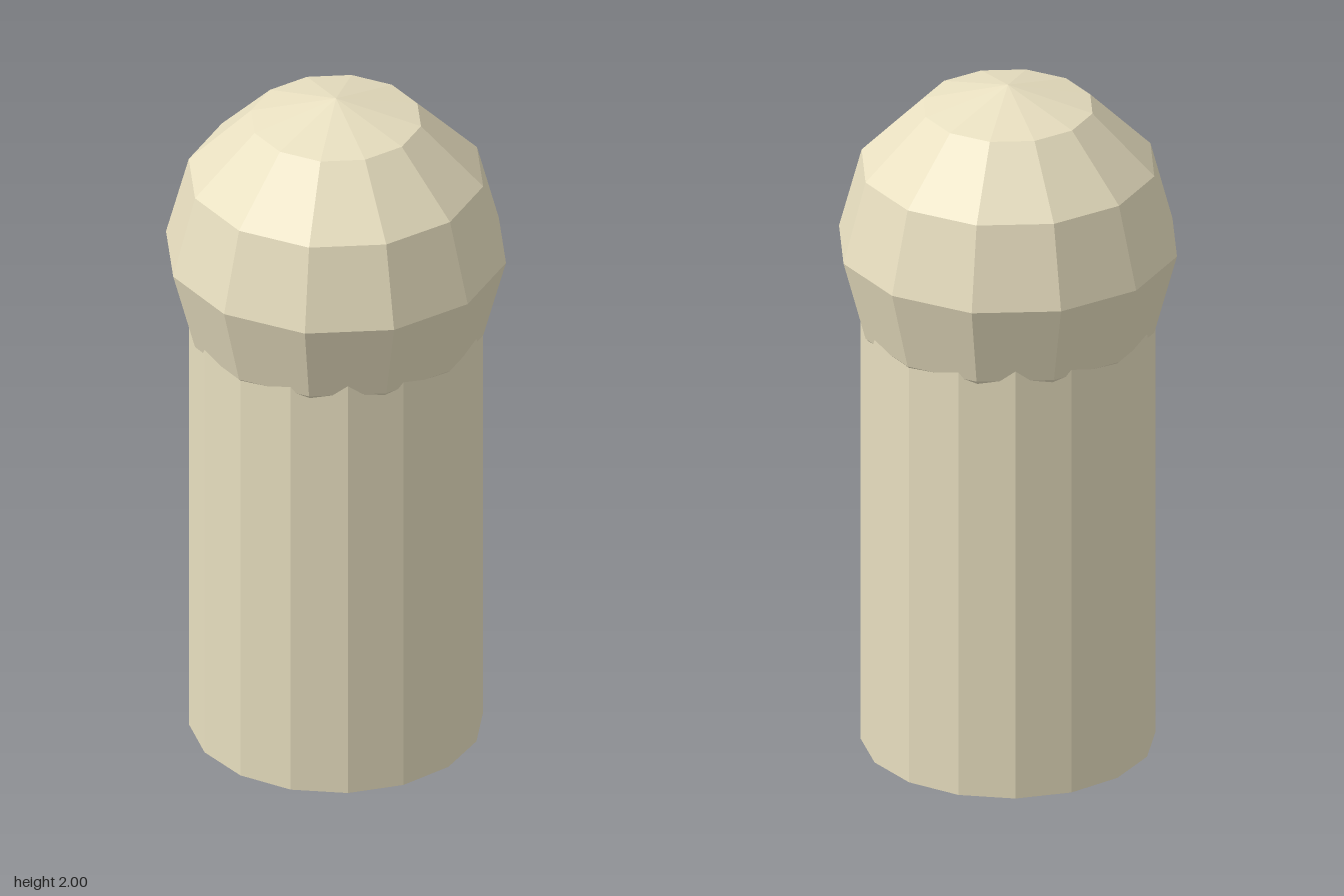
import * as THREE from 'three';

export function createModel() {
  const group = new THREE.Group();
  group.name = 'roundHeadedPeg';
  const material = new THREE.MeshStandardMaterial({ color: 0xe8dfc0, flatShading: true });

  const add = (name, geometry, y) => {
    const mesh = new THREE.Mesh(geometry, material);
    mesh.name = name;
    mesh.position.y = y;
    group.add(mesh);
  };

  // Faceted shaft, its top hidden inside the head
  const shaftHeight = 1.5;
  add('shaft', new THREE.CylinderGeometry(0.41, 0.41, shaftHeight, 16), shaftHeight / 2);

  // Low-poly ball head
  add('head', new THREE.SphereGeometry(0.48, 12, 6), 1.52);

  return group;
}
